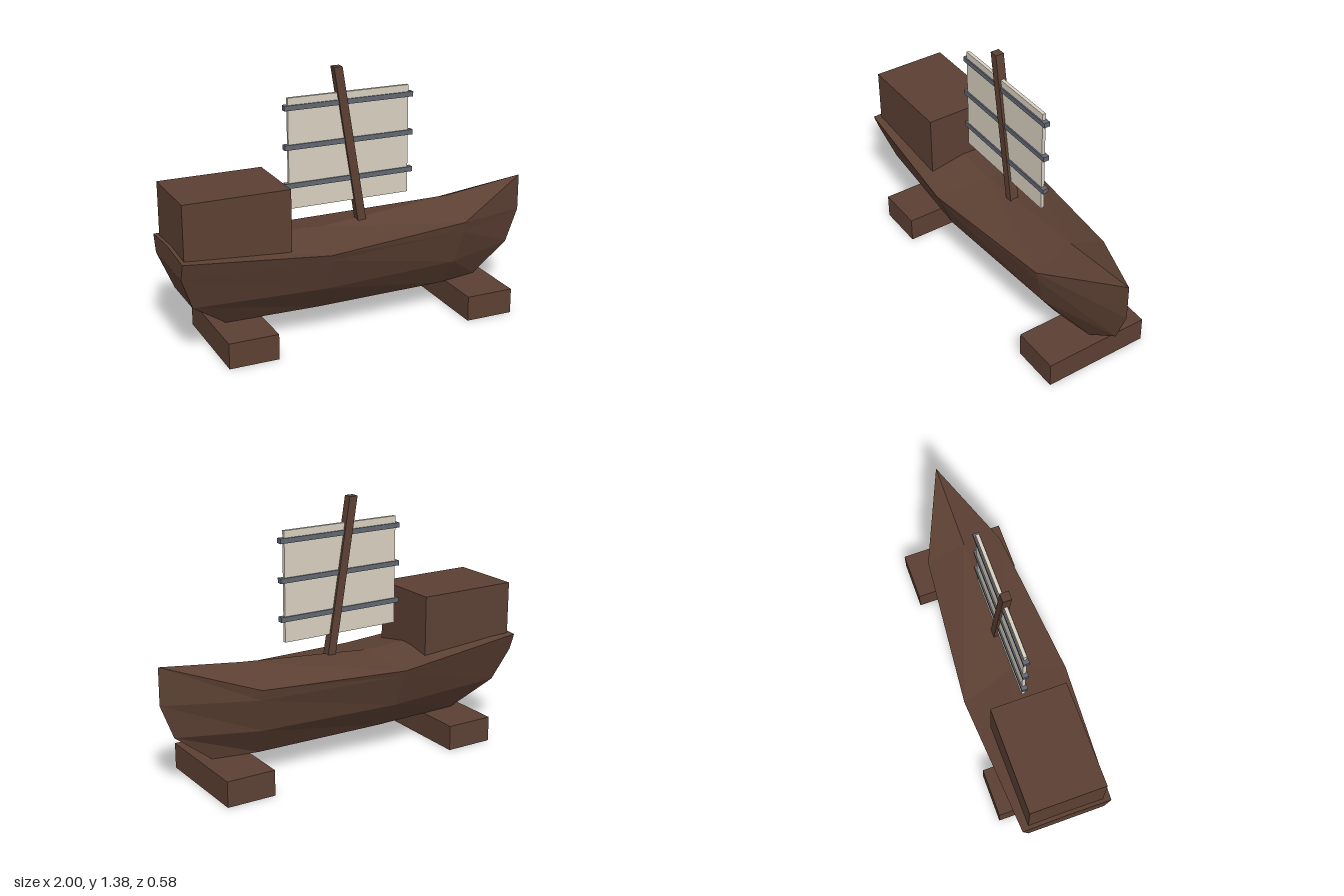
import * as THREE from 'three';

const wood = new THREE.MeshStandardMaterial({ color: 0x5c4033 });
wood.name = 'darkWood';
const cloth = new THREE.MeshStandardMaterial({ color: 0xd8d0c0 });
cloth.name = 'sailCloth';
const slate = new THREE.MeshStandardMaterial({ color: 0x626772 });
slate.name = 'battenGrey';

// Box given by its minimum and maximum corners
function box(name, material, min, max) {
  const size = max.map((v, i) => v - min[i]);
  const geometry = new THREE.BoxGeometry(...size);
  geometry.translate(...min.map((v, i) => v + size[i] / 2));
  const mesh = new THREE.Mesh(geometry, material);
  mesh.name = name;
  return mesh;
}

// Faceted hull: half sections from deck ridge down to keel, mirrored into loops
function createHull() {
  const sections = [
    [[-1, 0.575, 0], [-1, 0.56, 0.237], [-1, 0.47, 0.205], [-0.93, 0.29, 0.145], [-0.73, 0.135, 0.045]],
    [[-0.18, 0.55, 0], [-0.25, 0.5, 0.282], [-0.25, 0.47, 0.27], [-0.24, 0.29, 0.198], [-0.23, 0.135, 0.06]],
    [[0.55, 0.613, 0], [0.55, 0.525, 0.207], [0.55, 0.47, 0.195], [0.52, 0.29, 0.148], [0.49, 0.135, 0.045]],
    [[1, 0.667, 0], [1, 0.667, 0], [1, 0.47, 0], [0.93, 0.29, 0], [0.73, 0.135, 0]],
  ];
  const loops = sections.map((half) => [
    ...half,
    ...half.slice(1).reverse().map(([x, y, z]) => [x, y, -z]),
  ]);
  const n = loops[0].length;
  const positions = [];
  const quad = (a, b, c, d) => positions.push(...a, ...b, ...c, ...a, ...c, ...d);

  // Planking and deck
  for (let s = 0; s < loops.length - 1; s++) {
    for (let i = 0; i < n; i++) {
      const j = (i + 1) % n;
      quad(loops[s][i], loops[s][j], loops[s + 1][j], loops[s + 1][i]);
    }
  }
  // Stern transom
  const stern = loops[0];
  for (let i = 0; i < 4; i++) {
    quad(stern[(n - i) % n], stern[n - i - 1], stern[i + 1], stern[i]);
  }

  const geometry = new THREE.BufferGeometry();
  geometry.setAttribute('position', new THREE.Float32BufferAttribute(positions, 3));
  geometry.computeVertexNormals();
  const hull = new THREE.Mesh(geometry, wood);
  hull.name = 'hull';
  return hull;
}

// Square mast raked aft, with level ends
function createMast() {
  const mast = box('mast', wood, [-0.023, 0.5, -0.023], [0.023, 1.38, 0.023]);
  const p = mast.geometry.attributes.position;
  for (let i = 0; i < p.count; i++) {
    p.setX(i, p.getX(i) - 0.093 + (1.38 - p.getY(i)) * 0.16);
  }
  mast.geometry = mast.geometry.toNonIndexed();
  mast.geometry.computeVertexNormals();
  return mast;
}

export function createModel() {
  const model = new THREE.Group();
  model.name = 'sailingShip';
  model.add(createHull(), createMast());
  model.add(box('cabin', wood, [-0.98, 0.5, -0.2], [-0.427, 0.845, 0.2]));

  // Cradle blocks under the keel
  for (const [name, x] of [['sternBlock', -0.67], ['bowBlock', 0.665]]) {
    model.add(box(name, wood, [x - 0.131, 0, -0.288], [x + 0.131, 0.135, 0.288]));
  }

  // Flat sail with its three battens
  const sail = new THREE.Group();
  sail.name = 'battenedSail';
  sail.add(box('sailPanel', cloth, [-0.36, 0.673, -0.009], [0.305, 1.247, 0.009]));
  [0.795, 0.995, 1.197].forEach((y, i) => {
    sail.add(box(`batten${i + 1}`, slate, [-0.381, y - 0.013, -0.016], [0.33, y + 0.013, 0.016]));
  });
  model.add(sail);
  return model;
}
